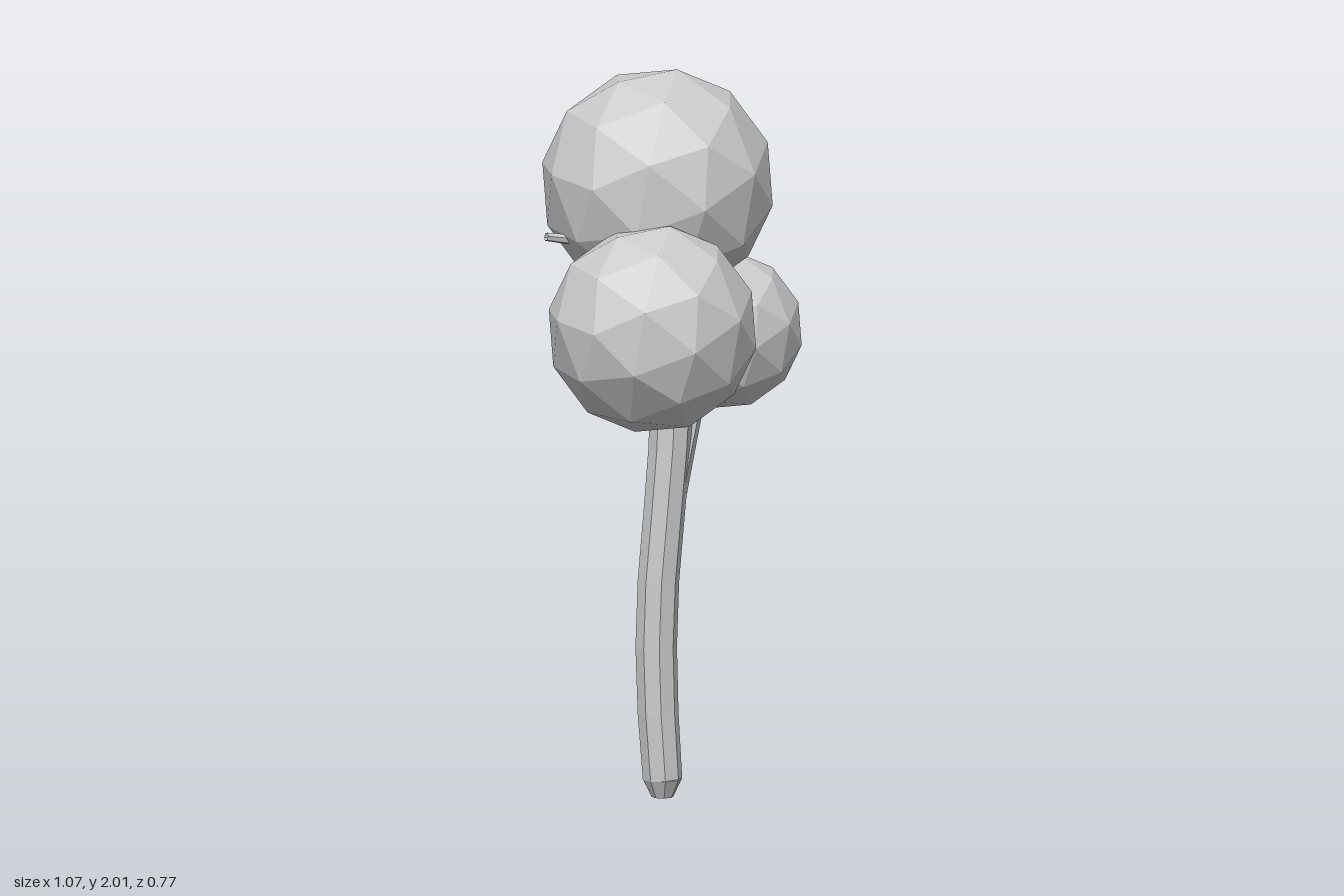
import * as THREE from 'three';

const material = new THREE.MeshStandardMaterial({ color: 0xcccccc, flatShading: true, side: THREE.DoubleSide });

// Faceted leaf ball; every ball shares the same slightly tilted orientation
function foliage(name, radius, x, y, z) {
  const c = 0.8507, s = 0.5257;
  const poleToX = new THREE.Matrix4().makeBasis(
    new THREE.Vector3(0, -1, 0), new THREE.Vector3(s, 0, -c), new THREE.Vector3(c, 0, s));
  const geometry = new THREE.IcosahedronGeometry(radius, 1).applyMatrix4(poleToX);
  geometry.rotateX(0.14).rotateZ(-0.09).rotateY(0.05);
  const mesh = new THREE.Mesh(geometry, material);
  mesh.name = name;
  mesh.position.set(x, y, z);
  return mesh;
}

// Tapered tube through the points, radius running along the given list
function limb(name, points, radii, segments, sides = 8) {
  const curve = new THREE.CatmullRomCurve3(points.map(p => new THREE.Vector3(...p)));
  const geometry = new THREE.TubeGeometry(curve, segments, 1, sides);
  const pos = geometry.attributes.position;
  const v = new THREE.Vector3();
  for (let i = 0; i < pos.count; i++) {
    const u = Math.floor(i / (sides + 1)) / segments;
    const t = u * (radii.length - 1);
    const k = Math.min(Math.floor(t), radii.length - 2);
    const r = THREE.MathUtils.lerp(radii[k], radii[k + 1], t - k);
    const centre = curve.getPointAt(u);
    v.fromBufferAttribute(pos, i).sub(centre).multiplyScalar(r).add(centre);
    pos.setXYZ(i, v.x, v.y, v.z);
  }
  geometry.computeVertexNormals();
  const mesh = new THREE.Mesh(geometry, material);
  mesh.name = name;
  return mesh;
}

export function createModel() {
  const tree = new THREE.Group();
  tree.name = 'tree';

  // Gently bowed trunk with a bevelled foot
  tree.add(limb('trunk',
    [[0, 0.05, -0.053], [-0.008, 0.35, -0.068], [0, 0.62, -0.065], [0.022, 0.9, -0.05], [0.035, 1.14, -0.045]],
    [0.054, 0.057, 0.057, 0.057, 0.06], 6));
  const foot = new THREE.Mesh(new THREE.CylinderGeometry(0.054, 0.03, 0.05, 8), material);
  foot.name = 'trunkFoot';
  foot.position.set(0, 0.025, -0.053);
  tree.add(foot);

  // Branches reaching into the leaf balls
  tree.add(limb('topBranch',
    [[0.035, 1.08, -0.045], [0.05, 1.22, -0.055], [0.03, 1.38, -0.07], [0, 1.55, -0.08]],
    [0.06, 0.05, 0.035, 0.025], 4));
  tree.add(limb('leftBranch',
    [[0.03, 0.84, -0.053], [0.07, 0.98, -0.055], [0.14, 1.1, -0.065], [0.26, 1.2, -0.08]],
    [0.05, 0.056, 0.05, 0.035], 4));
  tree.add(limb('rightBranch',
    [[0.03, 1.04, -0.045], [0.01, 1.14, -0.025], [-0.09, 1.23, 0.03], [-0.22, 1.32, 0.08]],
    [0.05, 0.052, 0.045, 0.03], 4));

  // Thin twig poking out behind the top ball
  tree.add(limb('twig',
    [[0.02, 1.42, -0.07], [-0.1, 1.52, -0.13], [-0.285, 1.568, -0.235]],
    [0.025, 0.018, 0.012], 3, 6));

  // Leaf balls
  tree.add(foliage('topFoliage', 0.32, 0.003, 1.69, -0.072));
  tree.add(foliage('rightFoliage', 0.288, -0.252, 1.345, 0.1));
  tree.add(foliage('leftFoliage', 0.218, 0.316, 1.238, -0.082));
  return tree;
}
